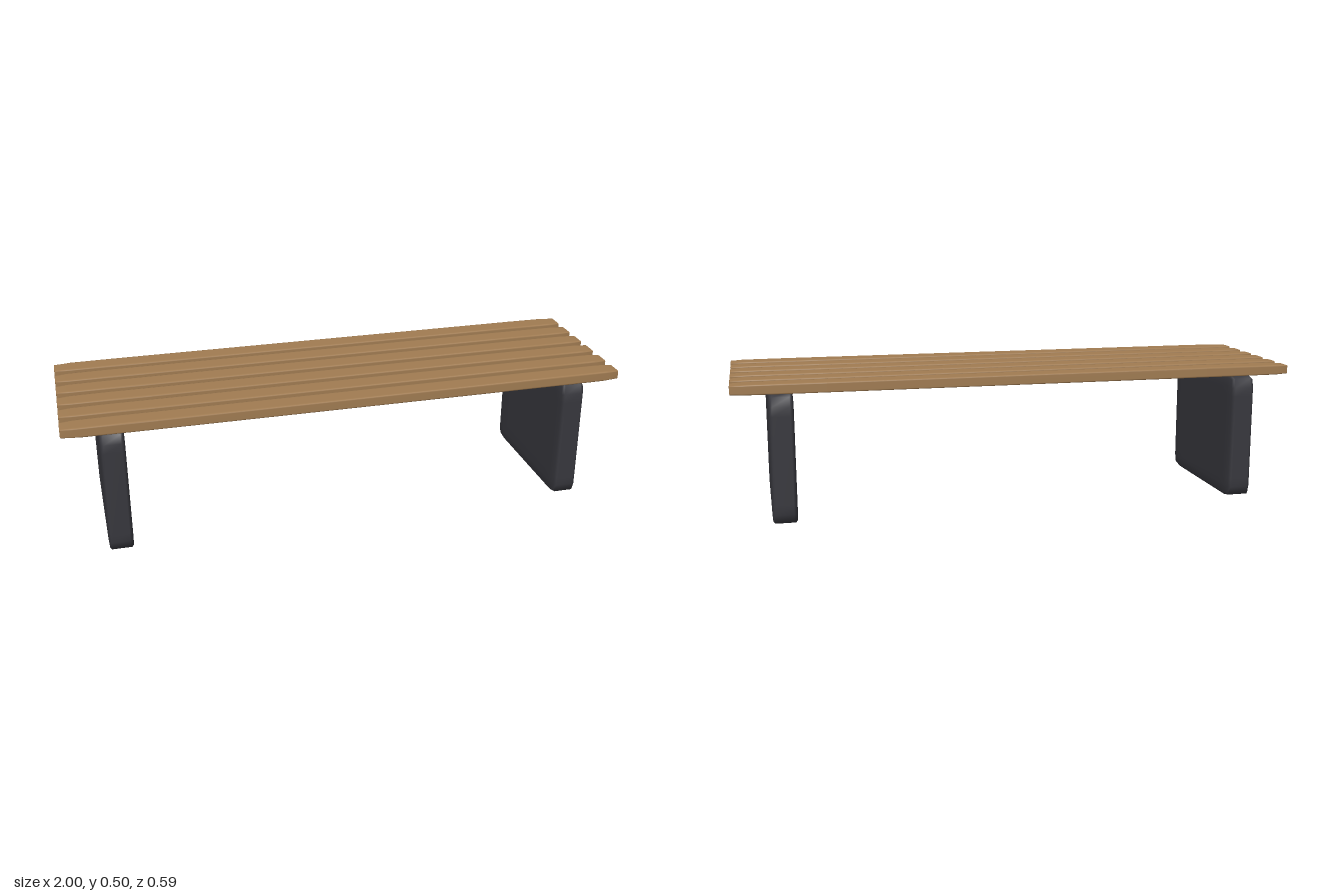
import * as THREE from 'three';
import { mergeVertices } from 'three/addons/utils/BufferGeometryUtils.js';

// Unit cube with softly rounded edges; scaling it stretches the rounding with the part.
function softCube() {
  let g = new THREE.BoxGeometry(2, 2, 2, 5, 5, 5);
  g.deleteAttribute('uv');
  g.deleteAttribute('normal');
  g = mergeVertices(g);
  const p = g.attributes.position;
  const flat = 0.68, power = 5.2;
  for (let i = 0; i < p.count; i++) {
    const c = [p.getX(i), p.getY(i), p.getZ(i)];
    // distance into the rounded border along each axis, from 0 to 1
    const u = c.map((v) => (Math.abs(v) > 0.9 ? 1 : Math.abs(v) > 0.4 ? 0.45 : 0));
    const norm = u.reduce((s, v) => s + v ** power, 0) ** (1 / power);
    const q = u.map((v, k) => Math.sign(c[k]) * (flat + (1 - flat) * v / norm) / 2);
    p.setXYZ(i, q[0], q[1], q[2]);
  }
  g.computeVertexNormals();
  return g;
}

function softBox(name, material, w, h, d, x, y, z) {
  const mesh = new THREE.Mesh(softCube().scale(w, h, d), material);
  mesh.name = name;
  mesh.position.set(x, y, z);
  return mesh;
}

export function createModel() {
  const wood = new THREE.MeshStandardMaterial({ color: 0xa17c52 });
  wood.name = 'wood';
  const darkMetal = new THREE.MeshStandardMaterial({ color: 0x38383e });
  darkMetal.name = 'darkMetal';

  const bench = new THREE.Group();
  bench.name = 'bench';

  // Seat of six long slats
  const seat = new THREE.Group();
  seat.name = 'seat';
  for (let i = 0; i < 6; i++) {
    seat.add(softBox('slat' + (i + 1), wood, 2, 0.036, 0.073, 0, 0.48, (i - 2.5) * 0.1025));
  }
  bench.add(seat);

  // Slab leg at each end
  for (const side of [1, -1]) {
    const name = side > 0 ? 'leftLeg' : 'rightLeg';
    bench.add(softBox(name, darkMetal, 0.087, 0.457, 0.556, side * 0.834, 0.2285, 0));
  }
  return bench;
}
